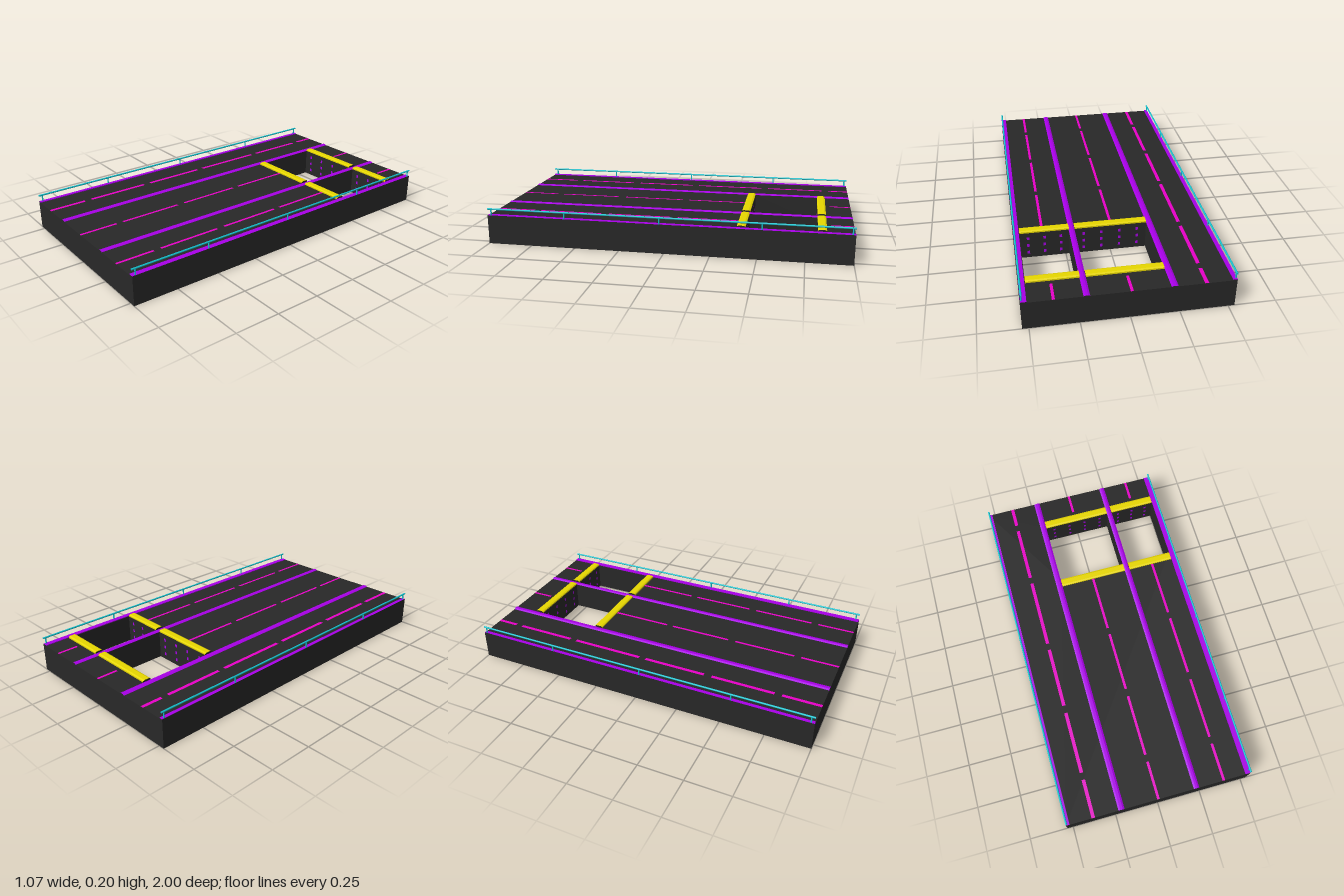
import * as THREE from 'three';

const mat = (name, color) => Object.assign(new THREE.MeshStandardMaterial({ color }), { name });

export function createModel() {
  const asphalt = mat('asphalt', 0x282828);
  const purple = mat('kerbPurple', 0xac00ec);
  const magenta = mat('laneMagenta', 0xec00cc);
  const yellow = mat('barrierYellow', 0xe8d800);
  const teal = mat('railTeal', 0x14c4d0);

  const model = new THREE.Group();
  model.name = 'roadSection';
  const W = 0.533, TOP = 0.16;
  const bays = [[-0.2, 0.2], [0.23, 0.5]];
  const bayBack = -0.81, bayFront = -0.435;

  const add = (name, geometry, material, x = 0, y = 0, z = 0) => {
    const mesh = new THREE.Mesh(geometry, material);
    mesh.name = name;
    mesh.position.set(x, y, z);
    model.add(mesh);
    return mesh;
  };
  const rect = (target, x0, x1, y0, y1) => {
    target.moveTo(x0, y0);
    target.lineTo(x1, y0);
    target.lineTo(x1, y1);
    target.lineTo(x0, y1);
    target.closePath();
    return target;
  };
  // Low strip with sloped shoulders, running along z from 0
  const strip = (w, foot, h, slope, length) => {
    const s = new THREE.Shape();
    s.moveTo(-w / 2, 0);
    s.lineTo(w / 2, 0);
    s.lineTo(w / 2, foot);
    s.lineTo(w / 2 - slope, h);
    s.lineTo(-w / 2 + slope, h);
    s.lineTo(-w / 2, foot);
    s.closePath();
    return new THREE.ExtrudeGeometry(s, { depth: length, bevelEnabled: false });
  };

  // Road slab with two openings
  const deck = rect(new THREE.Shape(), -W, W, -1, 1);
  for (const [x0, x1] of bays) deck.holes.push(rect(new THREE.Path(), x0, x1, -bayFront, -bayBack));
  const slab = new THREE.ExtrudeGeometry(deck, { depth: TOP, bevelEnabled: false });
  slab.rotateX(-Math.PI / 2);
  add('roadSlab', slab, asphalt);

  // Lane kerbs: dark ends, coloured tops and shoulders
  for (const [x0, x1] of [[-0.235, -0.2], [0.2, 0.232]])
    add('laneKerb', strip(x1 - x0, 0.0005, 0.005, 0.01, 2), [asphalt, purple], (x0 + x1) / 2, TOP, -1);

  // Edge kerbs: coloured on top and towards the road, dark outside
  for (const [x0, x1] of [[-W, -0.512], [0.503, W]]) {
    const left = x0 > 0;
    const faces = [left ? asphalt : purple, left ? purple : asphalt, purple, asphalt, asphalt, asphalt];
    add('edgeKerb', new THREE.BoxGeometry(x1 - x0, 0.004, 2), faces, (x0 + x1) / 2, TOP + 0.002, 0);
  }

  // Dashed lane lines
  const dashes = [[-1, -0.88], [-0.84, -0.5], [-0.46, -0.05], [-0.01, 0.345], [0.39, 0.745], [0.785, 1]];
  for (const [x, w] of [[-0.378, 0.02], [-0.005, 0.015], [0.376, 0.015]]) {
    for (let [z0, z1] of dashes) {
      if (x > -0.2) {
        if (z0 === -0.84) continue;
        if (z0 === -0.46) z0 = -0.39;
      }
      const dash = add('laneDash', new THREE.PlaneGeometry(w, z1 - z0), magenta, x, TOP + 0.0008, (z0 + z1) / 2);
      dash.rotation.x = -Math.PI / 2;
    }
  }

  for (const [x0, x1] of bays) {
    // Yellow barriers with dark ends, at both ends of each opening
    for (const z of [bayBack - 0.023, bayFront + 0.023]) {
      const geometry = strip(0.046, 0.008, 0.012, 0.009, x1 - x0);
      add('openingBarrier', geometry, [asphalt, yellow], x0, TOP, z).rotation.y = Math.PI / 2;
    }
    // Small marker plates on the end walls
    const columns = x0 < 0 ? 4 : 3;
    for (let i = 0; i < columns; i++) {
      const x = x0 + (x1 - x0) * (i + 0.5) / columns;
      for (const y of [0.035, 0.08, 0.125]) {
        const plate = new THREE.PlaneGeometry(0.014, 0.018);
        add('wallMarker', plate, purple, x, y, bayBack + 0.001);
        add('wallMarker', plate, purple, x, y, bayFront - 0.001).rotation.y = Math.PI;
      }
    }
  }

  // Side railings: round bars on round posts
  for (const side of [-1, 1]) {
    const x = side * 0.528;
    const bar = add('railBar', new THREE.CylinderGeometry(0.005, 0.005, 2, 16), teal, x, 0.199, 0);
    bar.rotation.x = Math.PI / 2;
    for (const z of [0.98, 0.555, 0.025, -0.525, -0.985])
      add('railPost', new THREE.CylinderGeometry(0.004, 0.004, 0.04, 12), teal, x, 0.179, z);
  }
  return model;
}
